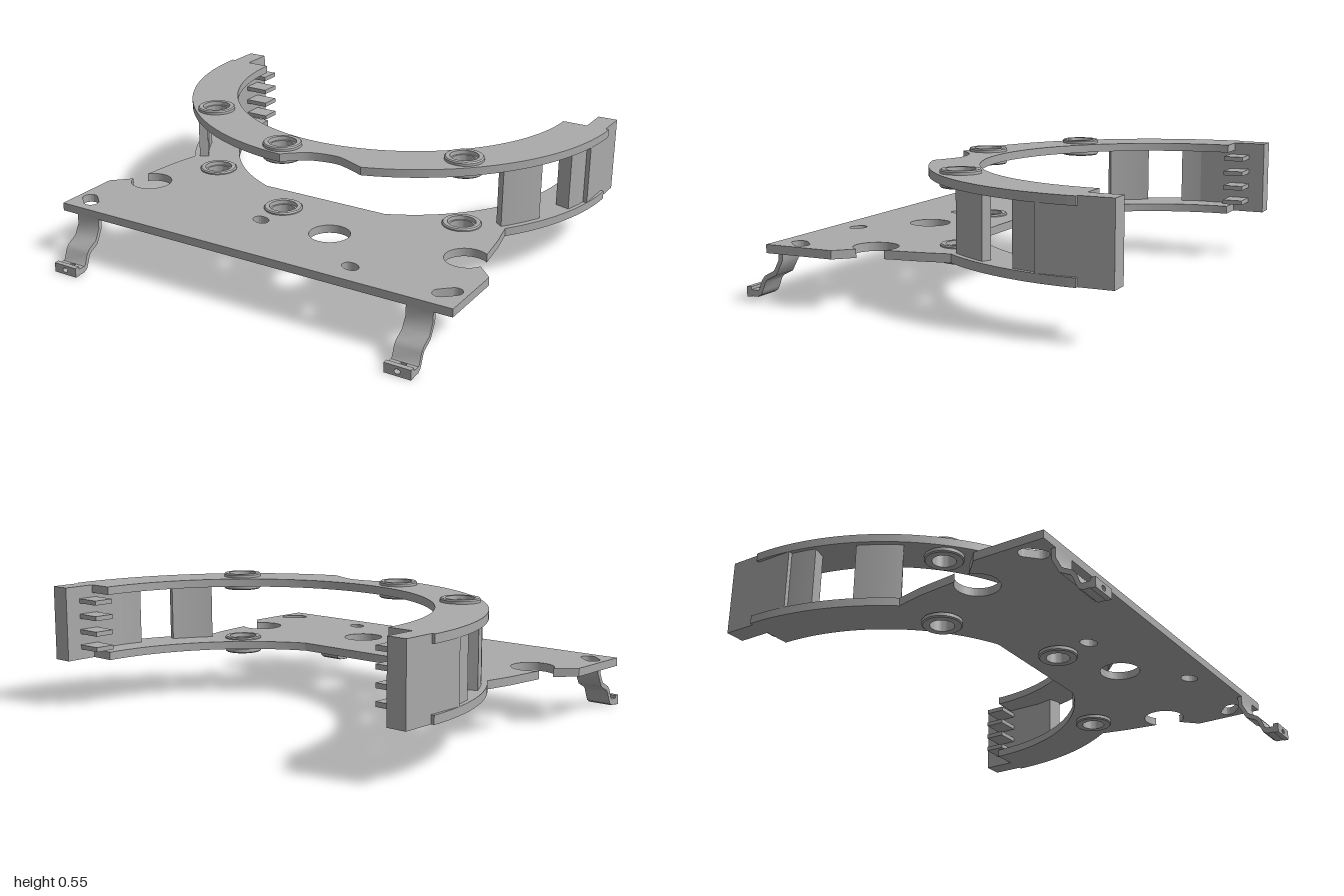
import * as THREE from 'three';
import { toCreasedNormals } from 'three/addons/utils/BufferGeometryUtils.js';

const PI = Math.PI;
const CZ = -0.69;                 // centre of the curved arms
const R_OUT = 1, R_IN = 0.79;
const LOW = [0.207, 0.242], HIGH = [0.495, 0.53];   // plate heights
const BUSHINGS = [[-0.61, -0.02], [-0.1, 0.21], [0.625, -0.04]];

export function createModel() {
  const model = new THREE.Group();
  model.name = 'bracket';
  const grey = new THREE.MeshStandardMaterial({ color: 0xaaaaaa });
  grey.name = 'plain grey';

  const add = (name, geometry, parent = model) => {
    const mesh = new THREE.Mesh(geometry, grey);
    mesh.name = name;
    parent.add(mesh);
    return mesh;
  };
  // Extrude a plan outline (x, z) between two heights
  const slab = (name, shape, y0, y1) => {
    const geo = new THREE.ExtrudeGeometry(shape, { depth: y1 - y0, bevelEnabled: false, curveSegments: 48 });
    geo.rotateX(PI / 2).translate(0, y1, 0);
    return add(name, toCreasedNormals(geo, 0.5));
  };
  const box = (name, x0, x1, y0, y1, z0, z1, parent) => {
    const geo = new THREE.BoxGeometry(x1 - x0, y1 - y0, z1 - z0);
    geo.translate((x0 + x1) / 2, (y0 + y1) / 2, (z0 + z1) / 2);
    return add(name, geo, parent);
  };
  const ellipseHole = (x, z, rx, rz, turn = 0) =>
    new THREE.Path().absellipse(x, z, rx, rz, 0, 2 * PI, false, turn);
  const slotHole = (x, z, half, r, turn) => {
    const dx = half * Math.cos(turn), dz = half * Math.sin(turn);
    return new THREE.Path()
      .absarc(x + dx, z + dz, r, turn - PI / 2, turn + PI / 2)
      .absarc(x - dx, z - dz, r, turn + PI / 2, turn + PI * 1.5)
      .closePath();
  };
  const bushingHoles = () => BUSHINGS.map(([x, z]) => ellipseHole(x, z, 0.06, 0.06));

  // Upper plate: half ring with a scallop in its front edge
  const upper = new THREE.Shape();
  upper.moveTo(R_OUT, CZ);
  upper.absarc(0, CZ, R_OUT, 0, Math.acos(0.31), false);
  upper.splineThru([[0.235, 0.228], [0.16, 0.207], [0.055, 0.225], [-0.005, 0.265], [-0.05, 0.309]]
    .map(p => new THREE.Vector2(...p)));
  upper.absarc(0, CZ, R_OUT, Math.acos(-0.05), PI, false);
  upper.lineTo(-R_IN, CZ);
  upper.absarc(0, CZ, R_IN, PI, 0, true);
  upper.holes.push(...bushingHoles());
  slab('upperPlate', upper, ...HIGH);

  // Lower plate: half ring joined to a wide front panel
  const lower = new THREE.Shape();
  const join = Math.acos(0.8), chord = Math.acos(0.3 / R_IN);
  lower.moveTo(R_OUT, CZ);
  lower.absarc(0, CZ, R_OUT, 0, join, false);
  lower.lineTo(0.825, 0.03);
  lower.absarc(0.79, 0.25, 0.09, -0.905, 0.464, true);
  for (const p of [[0.94, 0.36], [0.94, 0.665], [-0.94, 0.665], [-0.94, 0.36]]) lower.lineTo(...p);
  lower.absarc(-0.775, 0.265, 0.09, 2.91, -2.447, true);
  lower.lineTo(-0.825, 0.03);
  lower.absarc(0, CZ, R_OUT, PI - join, PI, false);
  lower.lineTo(-R_IN, CZ);
  lower.absarc(0, CZ, R_IN, PI, PI - chord, true);
  lower.absarc(0, CZ, R_IN, chord, 0, true);
  lower.holes.push(
    ...bushingHoles(),
    ellipseHole(0.21, 0.335, 0.086, 0.086),
    ellipseHole(-0.11, 0.365, 0.04, 0.03, 0.4),
    ellipseHole(0.44, 0.555, 0.04, 0.03, 0.4),
    slotHole(-0.863, 0.575, 0.028, 0.032, 0.75),
    slotHole(0.862, 0.555, 0.028, 0.032, -0.75));
  slab('lowerPlate', lower, ...LOW);

  // Flanged bushings through both plates
  const profile = [[0.05, -0.036], [0.078, -0.036], [0.083, -0.031], [0.083, -0.017], [0.06, -0.017],
    [0.06, 0.017], [0.083, 0.017], [0.083, 0.031], [0.078, 0.036], [0.06, 0.036], [0.058, 0.02],
    [0.05, 0.02], [0.05, -0.036]].map(p => new THREE.Vector2(...p));
  const bushing = toCreasedNormals(new THREE.LatheGeometry(profile, 40), 0.5);
  for (const y of [0.216, 0.51]) {
    for (const [x, z] of BUSHINGS) add('bushing', bushing).position.set(x, y, z);
  }

  // Curved wall piece between the plates, on either side
  const wall = (name, side, r0, r1, a0, a1) => {
    const s = new THREE.Shape();
    const from = side > 0 ? a0 : PI - a1, to = side > 0 ? a1 : PI - a0;
    s.absarc(0, CZ, r1, from, to, false);
    s.absarc(0, CZ, r0, to, from, true);
    s.closePath();
    slab(name, s, LOW[1], HIGH[0]);
  };

  // Clip strip profile as (z, y), thickened downward and inward
  const clipShape = new THREE.Shape([[0.665, 0.21], [0.665, 0.165], [0.69, 0.118], [0.735, 0.094],
    [0.75, 0.075], [0.765, 0.035], [0.772, 0.03], [0.772, 0.005], [0.757, 0.012], [0.748, 0.03],
    [0.734, 0.066], [0.725, 0.077], [0.68, 0.1], [0.648, 0.16], [0.645, 0.21]]
    .map(p => new THREE.Vector2(...p)));
  const clipGeo = toCreasedNormals(new THREE.ExtrudeGeometry(clipShape, { depth: 0.115, bevelEnabled: false })
    .rotateY(-PI / 2).translate(0.0575, 0, 0), 0.7);

  for (const side of [1, -1]) {
    const mirror = (a, b) => (side > 0 ? [a, b] : [-b, -a]);

    // Spacer post and end wall
    wall('spacerPost', side, 0.935, 0.976, 0.453, 0.65);
    wall('endWall', side, 0.915, 0.982, 0.16, 0.28);
    box('endWallFlat', ...mirror(0.9, 0.986), LOW[1], HIGH[0], -0.69, -0.525);
    box('endBlock', ...mirror(0.9, 0.986), LOW[0], HIGH[1], -0.83, -0.69);

    // Comb of fins beside the end block
    for (let i = 0; i < 4; i++) {
      const y = 0.262 + i * 0.068;
      box('fin', ...mirror(0.79, 0.905), y - 0.01, y + 0.01, -0.76, -0.67);
    }

    // Front hanging clip with a pierced tab
    const clip = new THREE.Group();
    clip.name = 'clip';
    clip.position.x = side * 0.803;
    model.add(clip);
    add('clipStrip', clipGeo, clip);
    for (const s of [-1, 1]) {
      box('clipPad', s * 0.035 - 0.0225, s * 0.035 + 0.0225, 0.003, 0.03, 0.77, 0.807, clip);
    }
    box('clipPadFloor', -0.02, 0.02, 0.003, 0.01, 0.77, 0.807, clip);
    const tab = new THREE.Shape([[-0.0575, 0], [0.0575, 0], [0.0575, 0.042], [-0.0575, 0.042]]
      .map(p => new THREE.Vector2(...p)));
    tab.holes.push(ellipseHole(0, 0.02, 0.013, 0.01));
    add('clipTab', new THREE.ExtrudeGeometry(tab, { depth: 0.022, bevelEnabled: false })
      .translate(0, 0, 0.805), clip);
  }
  return model;
}
